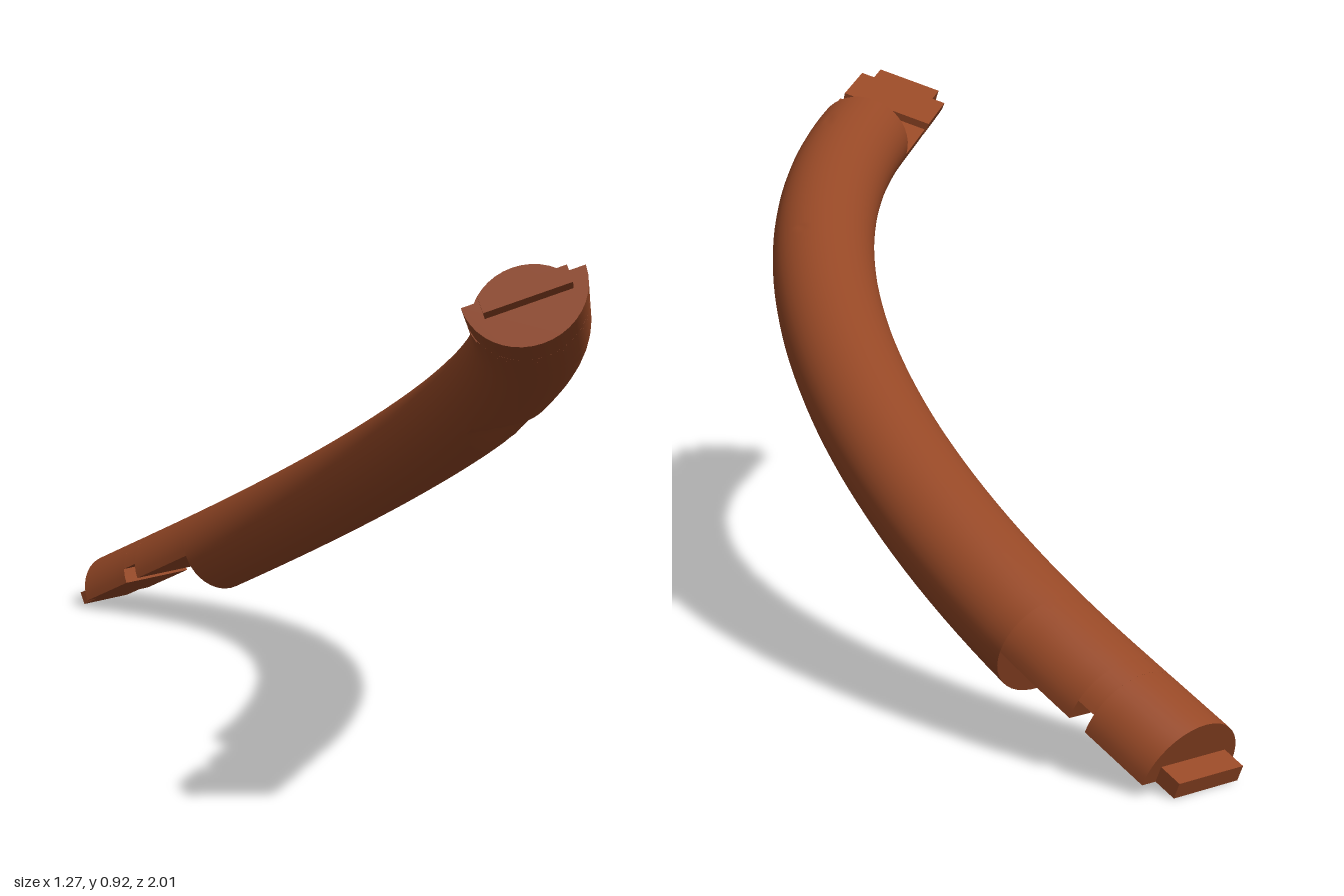
import * as THREE from 'three';
import { toCreasedNormals } from 'three/addons/utils/BufferGeometryUtils.js';

const R = 2.08, SWEEP = 0.925, ARC = R * SWEEP; // bend of the centre line
const RU = 0.093, RY = 0.086;                   // half width and half height of the rail
const TILT = 0.433, MID_HEIGHT = 0.46;          // slope of the plane the rail lies in

// Centre line in the flat plane: straight end, arc, straight end. s = 0 at the arc start.
function frame(s) {
  const t = THREE.MathUtils.clamp(s / R, 0, SWEEP);
  const extra = s - t * R;
  return {
    x: 0.537 - R * (1 - Math.cos(t)) - extra * Math.sin(t),
    z: -0.855 + R * Math.sin(t) + extra * Math.cos(t),
    nx: Math.cos(t), nz: Math.sin(t),
  };
}

// Solid from cross-sections: profile(s) gives a counter-clockwise loop of [across, up]
function loft(stations, profile) {
  const pos = [], index = [];
  let n = 0;
  stations.forEach((s) => {
    const f = frame(s), ring = profile(s);
    n = ring.length;
    ring.forEach(([u, y]) => pos.push(f.x + f.nx * u, y, f.z + f.nz * u));
  });
  for (let i = 0; i < stations.length - 1; i++) {
    for (let j = 0; j < n; j++) {
      const a = i * n + j, b = i * n + (j + 1) % n;
      index.push(a, b, a + n, b, b + n, a + n);
    }
  }
  const last = (stations.length - 1) * n;
  for (let j = 1; j < n - 1; j++) {
    index.push(0, j + 1, j, last, last + j, last + j + 1);
  }
  const g = new THREE.BufferGeometry();
  g.setAttribute('position', new THREE.Float32BufferAttribute(pos, 3));
  g.setIndex(index);
  return toCreasedNormals(g, 0.5);
}

// Arc of the oval section between two angles
function ovalArc(from, to, count, closed) {
  const pts = [];
  for (let i = 0; i < count; i++) {
    const p = from + (to - from) * i / (closed ? count : count - 1);
    pts.push([RU * Math.cos(p), RY * Math.sin(p)]);
  }
  return pts;
}

// Section cut flat at height h, keeping the upper (side = 1) or lower (side = -1) part
function halfOval(side, h) {
  const p = Math.asin(h / RY);
  return side > 0 ? ovalArc(p, Math.PI - p, 21) : ovalArc(Math.PI - p, 2 * Math.PI + p, 21);
}

// Shallow chop in the underside: long ramp, then a steeper wall
const CHOP = [1.188, 1.296, 1.42], CHOP_DEPTH = 0.024;
function chopDepth(s) {
  const [a, b, c] = CHOP;
  if (s <= a || s >= c) return 0;
  return CHOP_DEPTH * (s < b ? (s - a) / (b - a) : (c - s) / (c - b));
}

function range(a, b, count) {
  return Array.from({ length: count + 1 }, (_, i) => a + (b - a) * i / count);
}

export function createModel() {
  const wood = new THREE.MeshStandardMaterial({ color: 0x964826 });
  wood.name = 'reddish brown wood';

  const rail = new THREE.Group();
  rail.name = 'curvedRail';
  const add = (parent, name, stations, profile) => {
    const mesh = new THREE.Mesh(loft(stations, profile), wood);
    mesh.name = name;
    parent.add(mesh);
  };

  // Full round part between the two joints
  const lowShoulder = 0.12, highShoulder = ARC;
  const stations = [...range(lowShoulder, highShoulder, 44), ...CHOP].sort((a, b) => a - b);
  add(rail, 'railBody', stations, (s) => {
    const floor = -RY + chopDepth(s);
    return ovalArc(0, Math.PI * 2, 40, true).map(([u, y]) => [u, Math.max(y, floor)]);
  });

  // Half-lap joint: flat half section with a cross groove and a thin tongue at the tip
  const lapJoint = (name, start, dir, side, marks) => {
    const joint = new THREE.Group();
    joint.name = name;
    const span = (a, b) => {
      const r = [start + dir * a, start + dir * b].sort((p, q) => p - q);
      return range(r[0], r[1], 4);
    };
    const [g0, g1, end, tip] = marks;
    add(joint, 'innerHalf', span(0, g0), () => halfOval(side, 0));
    add(joint, 'groove', span(g0, g1), () => halfOval(side, side * 0.03));
    add(joint, 'outerHalf', span(g1, end), () => halfOval(side, 0));
    const lo = side > 0 ? 0 : -0.026, hi = side > 0 ? 0.026 : 0, w = 0.066;
    add(joint, 'tongue', span(end, tip), () => [[w, lo], [w, hi], [-w, hi], [-w, lo]]);
    rail.add(joint);
  };
  lapJoint('lowerJoint', lowShoulder, -1, 1, [0.162, 0.197, 0.325, 0.365]);
  lapJoint('upperJoint', highShoulder, 1, -1, [0.155, 0.19, 0.33, 0.385]);

  // Lean the flat rail up toward the front
  rail.rotation.x = -TILT;
  rail.position.y = MID_HEIGHT;

  const model = new THREE.Group();
  model.name = 'handrailBend';
  model.add(rail);
  return model;
}
